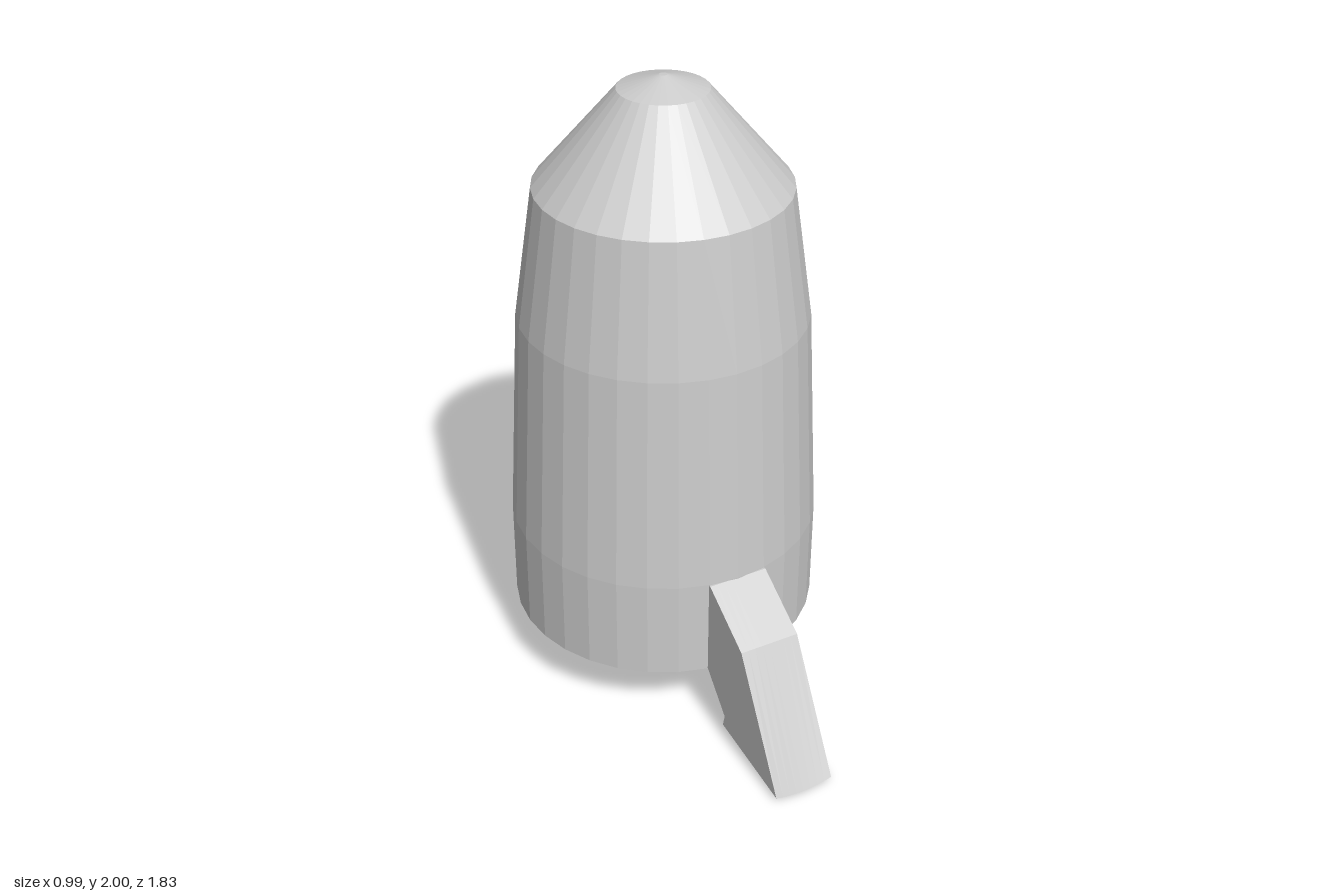
import * as THREE from 'three';

const material = new THREE.MeshStandardMaterial({ color: 0xcccccc, flatShading: true });

// Faceted hull with a tapered nose, closed at both ends
function makeHull() {
  const profile = [
    [0, 0.2], [0.493, 0.2], [0.493, 0.53], [0.455, 1.24],
    [0.394, 1.66], [0.138, 1.96], [0.012, 2], [0, 2],
  ].map(([r, y]) => new THREE.Vector2(r, y));
  const hull = new THREE.Mesh(new THREE.LatheGeometry(profile, 32), material);
  hull.name = 'hull';
  return hull;
}

// Landing fin pointing to +z, with a slightly bowed sole
function makeFin(name) {
  const half = 0.098;
  const outline = [
    [0.45, 0.21], [0.48, 0.205], [0.595, 0.088], [0.585, 0.047],
    [0.913, 0.013], [0.685, 0.41], [0.49, 0.528], [0.45, 0.528],
  ].map(([z, y]) => new THREE.Vector2(z, y));
  const geometry = new THREE.ExtrudeGeometry(new THREE.Shape(outline), {
    depth: half * 2, steps: 8, bevelEnabled: false,
  });
  geometry.translate(0, 0, -half);
  geometry.rotateY(-Math.PI / 2);

  // Bow the sole downwards towards the middle of the fin
  const p = geometry.attributes.position;
  for (let i = 0; i < p.count; i++) {
    if (p.getY(i) < 0.06) {
      p.setY(i, p.getY(i) - 0.013 * (1 - (p.getX(i) / half) ** 2));
    }
  }
  geometry.computeVertexNormals();
  const fin = new THREE.Mesh(geometry, material);
  fin.name = name;
  return fin;
}

export function createModel() {
  const rocket = new THREE.Group();
  rocket.name = 'rocket';
  const backFin = makeFin('backFin');
  backFin.rotation.y = Math.PI;
  rocket.add(makeHull(), makeFin('frontFin'), backFin);
  return rocket;
}
